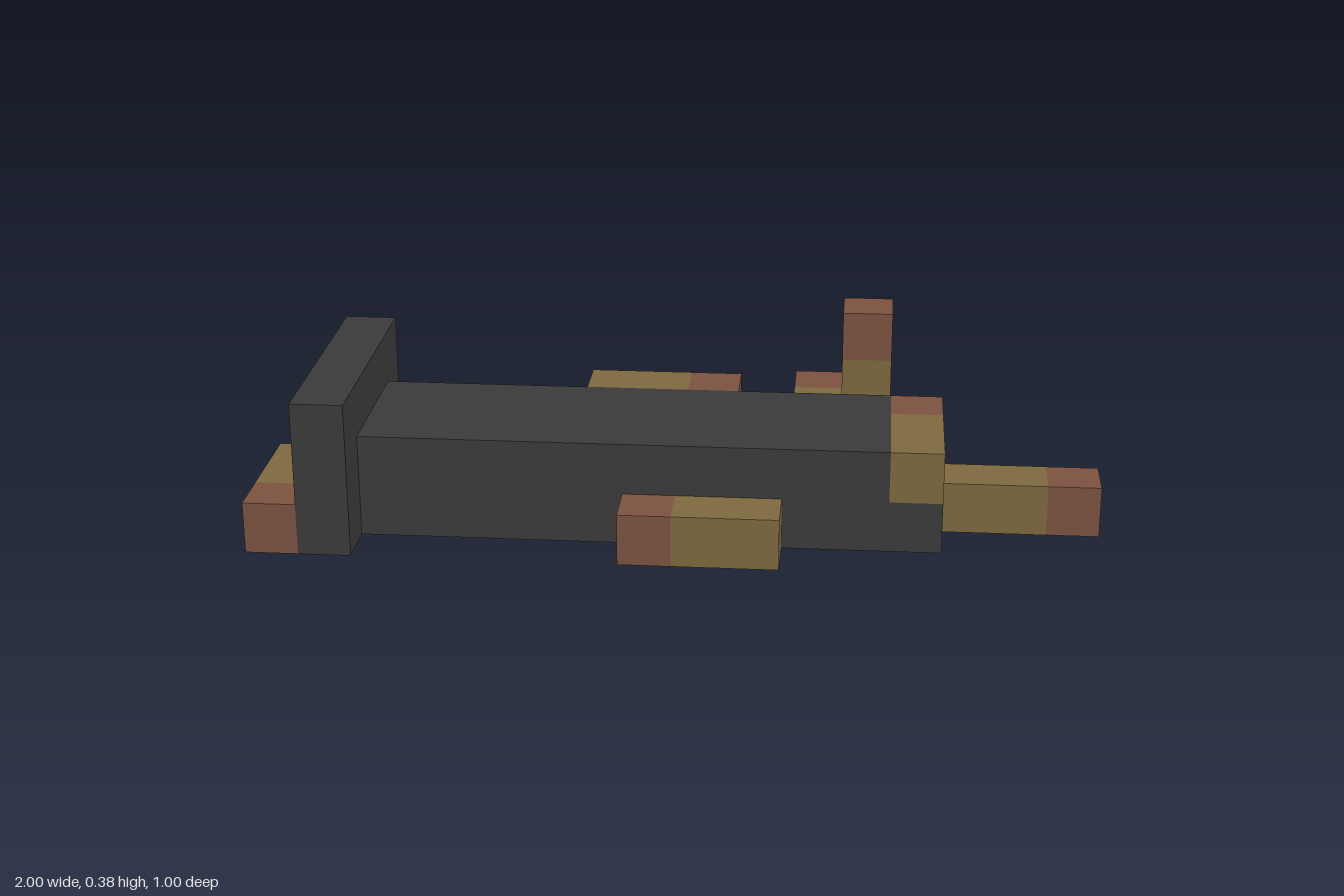
import * as THREE from 'three';

const U = 0.125; // one block

function material(name, color) {
  const m = new THREE.MeshStandardMaterial({ color });
  m.name = name;
  return m;
}

export function createModel() {
  const group = new THREE.Group();
  const charcoal = material('charcoal', 0x3b3b3b);
  const tan = material('tan', 0x7f6a40);
  const russet = material('russet', 0x7d5341);

  // Box between two corners given in blocks
  function block(name, mat, min, max, parent = group) {
    const size = max.map((v, i) => (v - min[i]) * U);
    const mesh = new THREE.Mesh(new THREE.BoxGeometry(...size), mat);
    mesh.position.set(...max.map((v, i) => ((v + min[i]) / 2) * U));
    mesh.name = name;
    parent.add(mesh);
  }

  // Three-block log: two tan blocks and a russet tip, running along axis in direction dir
  function log(name, start, axis, dir) {
    const part = new THREE.Group();
    part.name = name;
    const shaftMin = [...start], tipMin = [...start];
    if (dir < 0) shaftMin[axis] -= 1;
    tipMin[axis] += 2 * dir;
    const shaftMax = shaftMin.map((v, i) => v + (i === axis ? 2 : 1));
    block(name + 'Shaft', tan, shaftMin, shaftMax, part);
    block(name + 'Tip', russet, tipMin, tipMin.map((v) => v + 1), part);
    group.add(part);
  }

  // Long body with a notch at its upper right end
  const profile = new THREE.Shape(
    [[-6, 0], [5, 0], [5, 1], [4, 1], [4, 2], [-6, 2]].map(([x, y]) => new THREE.Vector2(x * U, y * U))
  );
  const body = new THREE.Mesh(
    new THREE.ExtrudeGeometry(profile, { depth: 3 * U, bevelEnabled: false }), charcoal
  );
  body.name = 'body';
  group.add(body);

  // Upright end plate
  block('endPlate', charcoal, [-7, 0, -1], [-6, 3, 4]);

  // Logs on and around the body: first block, axis (0 x, 1 y, 2 z), direction
  log('notchLog', [4, 1, 2], 2, -1);
  log('rightEndLog', [5, 0, 1], 0, 1);
  log('leftEndLog', [-8, 0, 1], 2, 1);
  log('frontLog', [1, 0, 3], 0, -1);
  log('backLowerLog', [-3, 0, -1], 0, 1);
  log('backUpperLog', [-2, 1, -1], 0, 1);
  log('backOuterLog', [-1, 0, -2], 0, 1);
  log('backCrossLog', [2, 0, -2], 2, -1);
  log('uprightLog', [3, 0, -3], 1, 1);

  return group;
}
